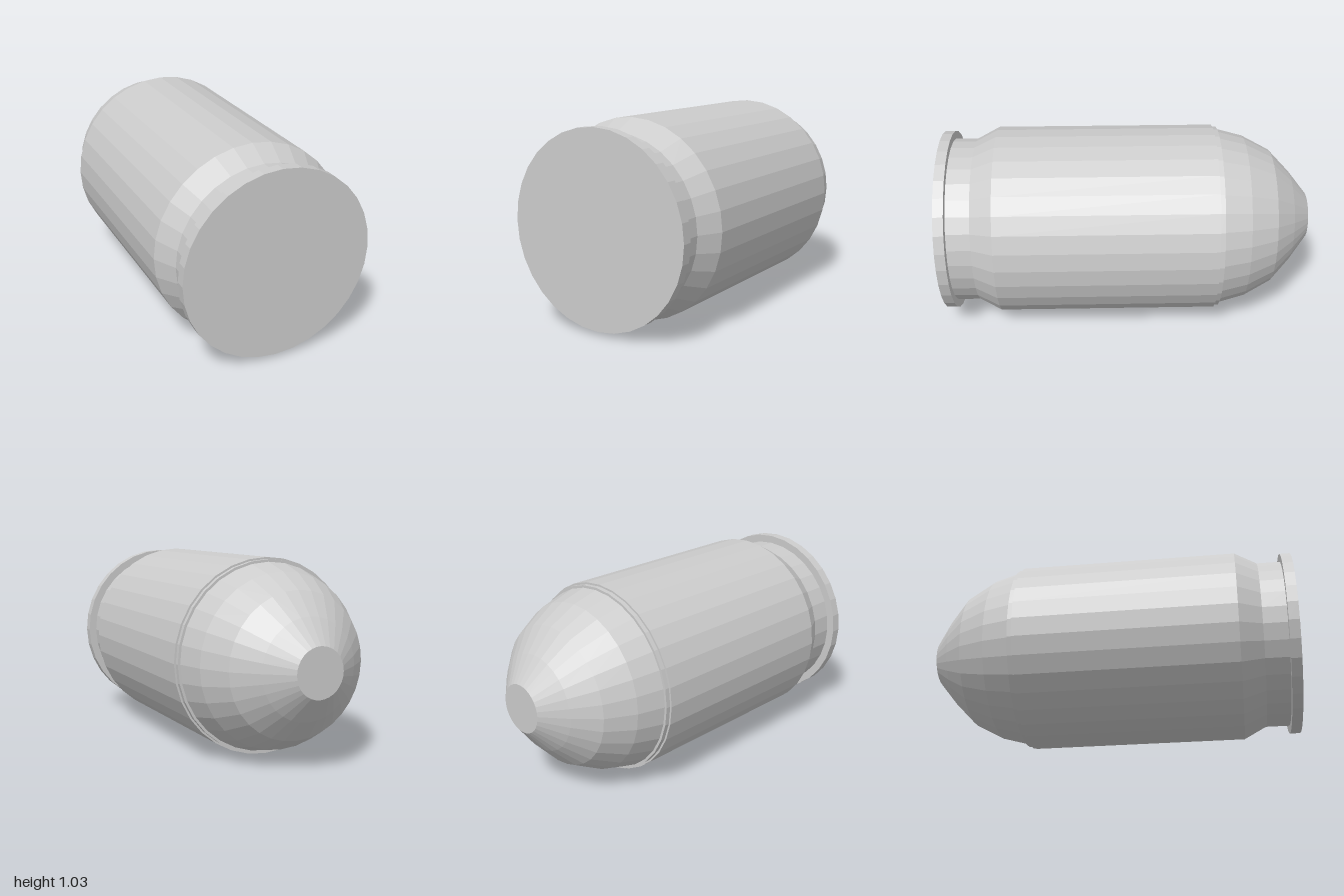
import * as THREE from 'three';

const SIDES = 32;
const AXIS_HEIGHT = 0.515;

// Turns a profile of [radius, z] points (front to back) around the z axis.
function turned(name, profile, material) {
  const points = profile.map(([r, z]) => new THREE.Vector2(r, -z));
  const geometry = new THREE.LatheGeometry(points, SIDES);
  geometry.rotateX(-Math.PI / 2);
  const mesh = new THREE.Mesh(geometry, material);
  mesh.name = name;
  mesh.position.y = AXIS_HEIGHT;
  return mesh;
}

export function createModel() {
  const group = new THREE.Group();
  group.name = 'cartridge';
  const material = new THREE.MeshStandardMaterial({ color: 0xcccccc, flatShading: true });

  // Case: flat base, rim, extractor groove, taper, straight wall and mouth step
  group.add(turned('case', [
    [0, 1], [0.495, 1], [0.495, 0.945],
    [0.452, 0.945], [0.452, 0.82],
    [0.515, 0.7], [0.515, -0.47],
    [0.505, -0.47], [0.505, -0.495], [0.49, -0.495],
  ], material));

  // Bullet: rounded nose with a flat tip
  group.add(turned('bullet', [
    [0.492, -0.495], [0.453, -0.64], [0.373, -0.79],
    [0.256, -0.9], [0.128, -1], [0, -1],
  ], material));

  return group;
}
